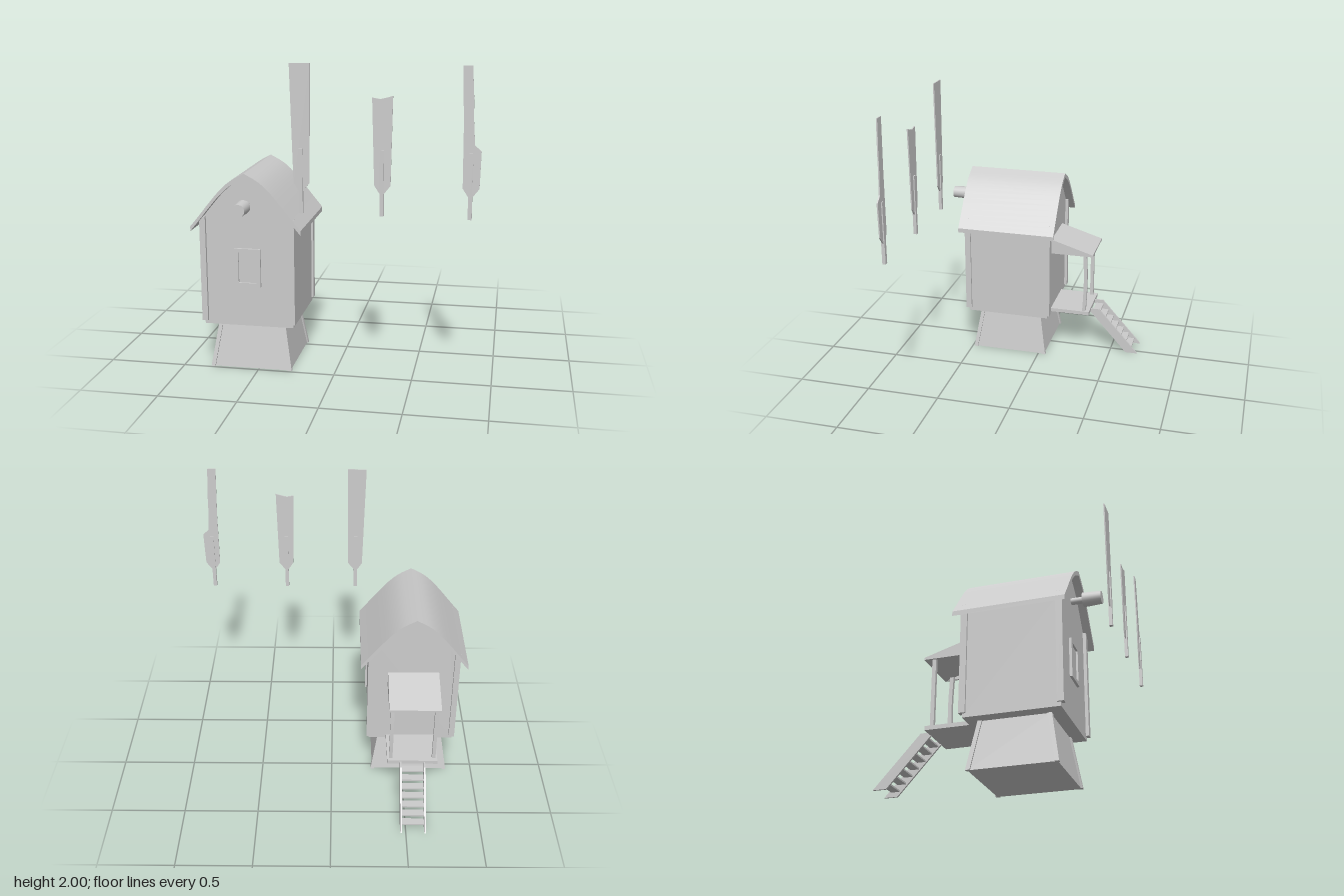
import * as THREE from 'three';
import { toCreasedNormals } from 'three/addons/utils/BufferGeometryUtils.js';

const CX = -0.55;   // mill centre line
const CZ = 0.217;   // centre of the trestle base

export function createModel() {
  const model = new THREE.Group();
  const mat = new THREE.MeshStandardMaterial({ color: 0xcccccc });

  function add(parent, name, geo, x = 0, y = 0, z = 0) {
    const mesh = new THREE.Mesh(geo, mat);
    mesh.name = name;
    mesh.position.set(x, y, z);
    parent.add(mesh);
    return mesh;
  }
  function group(name) {
    const g = new THREE.Group();
    g.name = name;
    model.add(g);
    return g;
  }
  const toShape = (pts) => new THREE.Shape(pts.map(([x, y]) => new THREE.Vector2(x, y)));
  // Outline in x/y, running along z and centred on it
  function slab(pts, depth, holes = []) {
    const shape = toShape(pts);
    holes.forEach((h) => shape.holes.push(toShape(h)));
    const geo = new THREE.ExtrudeGeometry(shape, { depth, bevelEnabled: false });
    return toCreasedNormals(geo.translate(0, 0, -depth / 2), 0.6);
  }
  // Outline in z/y, running along x and centred on it
  const sideSlab = (pts, width) => slab(pts, width).rotateY(-Math.PI / 2);
  const box = (w, h, d) => new THREE.BoxGeometry(w, h, d);
  const rect = (w, h) => [[-w, -h], [w, -h], [w, h], [-w, h]];

  // Roof curve, from ridge to eave, then mirrored
  const half = new THREE.CatmullRomCurve3(
    [[0, 1.31], [0.085, 1.263], [0.15, 1.207], [0.22, 1.127], [0.295, 1.033], [0.355, 0.96]]
      .map(([x, y]) => new THREE.Vector3(x, y, 0))
  ).getPoints(14).map((p) => [p.x, p.y]);
  const arch = [...half].reverse().concat(half.slice(1).map(([x, y]) => [-x, y]));

  // Sloping trestle base with leaning corner posts
  const base = group('base');
  const wallGeo = new THREE.CylinderGeometry(0.21 * Math.SQRT2, 0.26 * Math.SQRT2, 0.306, 4).toNonIndexed();
  wallGeo.rotateY(Math.PI / 4).computeVertexNormals();
  add(base, 'baseWalls', wallGeo, CX, 0.153, CZ);
  for (const sx of [-1, 1]) {
    for (const sz of [-1, 1]) {
      const geo = box(0.026, 0.306, 0.026);
      const p = geo.attributes.position;
      for (let i = 0; i < p.count; i++) {
        const lean = 0.257 - 0.05 * (p.getY(i) / 0.306 + 0.5);
        p.setX(i, p.getX(i) + sx * lean);
        p.setZ(i, p.getZ(i) + sz * lean);
      }
      geo.computeVertexNormals();
      add(base, 'basePost', geo, CX, 0.153, CZ);
    }
  }

  // Cabin with arched gables
  const cabin = group('cabin');
  const gable = arch.filter(([x]) => Math.abs(x) < 0.285).map(([x, y]) => [x, y - 0.031]);
  add(cabin, 'cabinWalls',
    slab([[-0.292, 0.305], [0.292, 0.305], [0.292, 1.005], ...gable, [-0.292, 1.005]], 0.58), CX, 0, 0.22);
  for (const sx of [-1, 1]) {
    for (const sz of [-1, 1]) {
      add(cabin, 'cornerPost', box(0.038, 0.69, 0.04), CX + sx * 0.287, 0.675, 0.22 + sz * 0.29);
    }
  }

  // Curved roof shell
  const under = [...arch].reverse().map(([x, y]) => [x, y - 0.03]);
  add(model, 'roof', slab([...arch, ...under], 0.685), CX, 0, 0.218);

  // Front window
  const win = group('window');
  add(win, 'windowFrame', slab(rect(0.085, 0.124), 0.03, [rect(0.058, 0.1)]), CX, 0.695, 0.511);
  add(win, 'windowPane', box(0.12, 0.204, 0.01), CX, 0.695, 0.509);

  // Sail shaft and hub
  const hub = group('hub');
  add(hub, 'shaft', new THREE.CylinderGeometry(0.021, 0.021, 0.14, 16).rotateX(Math.PI / 2), CX, 1.105, 0.53);
  add(hub, 'hubBarrel', new THREE.CylinderGeometry(0.04, 0.045, 0.115, 20).rotateX(Math.PI / 2), CX, 1.105, 0.6425);

  // Rear porch: floor, posts and lean-to canopy
  const porch = group('porch');
  add(porch, 'porchFloor', box(0.34, 0.026, 0.285), CX, 0.319, -0.2075);
  for (const sx of [-1, 1]) {
    const geo = box(0.024, 0.44, 0.024).toNonIndexed();
    add(porch, 'porchPost', geo, CX + sx * 0.146, 0.55, -0.311);
    if (sx > 0) {
      // This post is slightly warped
      const bent = new THREE.BoxGeometry(0.024, 0.44, 0.024, 1, 8, 1);
      const p = bent.attributes.position;
      for (let i = 0; i < p.count; i++) {
        p.setZ(i, p.getZ(i) - 0.008 * Math.cos((p.getY(i) / 0.44) * Math.PI));
      }
      bent.computeVertexNormals();
      porch.children[porch.children.length - 1].geometry = bent;
    }
  }
  add(porch, 'canopyTop',
    sideSlab([[-0.068, 0.868], [-0.37, 0.776], [-0.37, 0.762], [-0.355, 0.762], [-0.068, 0.85]], 0.342), CX);
  for (const sx of [-1, 1]) {
    add(porch, 'canopyCheek',
      sideSlab([[-0.068, 0.86], [-0.368, 0.77], [-0.368, 0.762], [-0.068, 0.762]], 0.014), CX + sx * 0.164);
  }

  // Ladder up to the porch
  const ladder = group('ladder');
  for (const sx of [-1, 1]) {
    add(ladder, 'stringer',
      sideSlab([[-0.345, 0.302], [-0.345, 0.323], [-0.41, 0.323], [-0.7, 0], [-0.615, 0]], 0.012),
      CX + sx * 0.08);
  }
  for (let i = 0; i < 7; i++) {
    add(ladder, 'tread', box(0.155, 0.01, 0.055), CX, 0.035 + i * 0.043, -0.628 + i * 0.04);
  }

  // Loose weathered sails: outline relative to each pole
  const foot = [[-0.045, 1.29], [-0.013, 1.24], [0.013, 1.24], [0.052, 1.29]];
  const sails = [
    [-0.163, [[0.06, 2], [-0.065, 2]]],
    [0.324, [[0.062, 1.82], [0.03, 1.81], [-0.012, 1.8], [-0.06, 1.808]]],
    [0.843, [[0.058, 1.51], [0.019, 1.545], [0.009, 1.69], [0.006, 1.82], [-0.005, 2], [-0.06, 2], [-0.048, 1.66]]],
  ];
  sails.forEach(([x, top]) => {
    const sail = group('sail');
    add(sail, 'sailBoard', slab([...foot, ...top], 0.008), x, 0, 0.671);
    add(sail, 'sailPole', box(0.024, 0.395, 0.022), x, 1.3025, 0.671);
  });

  return model;
}
